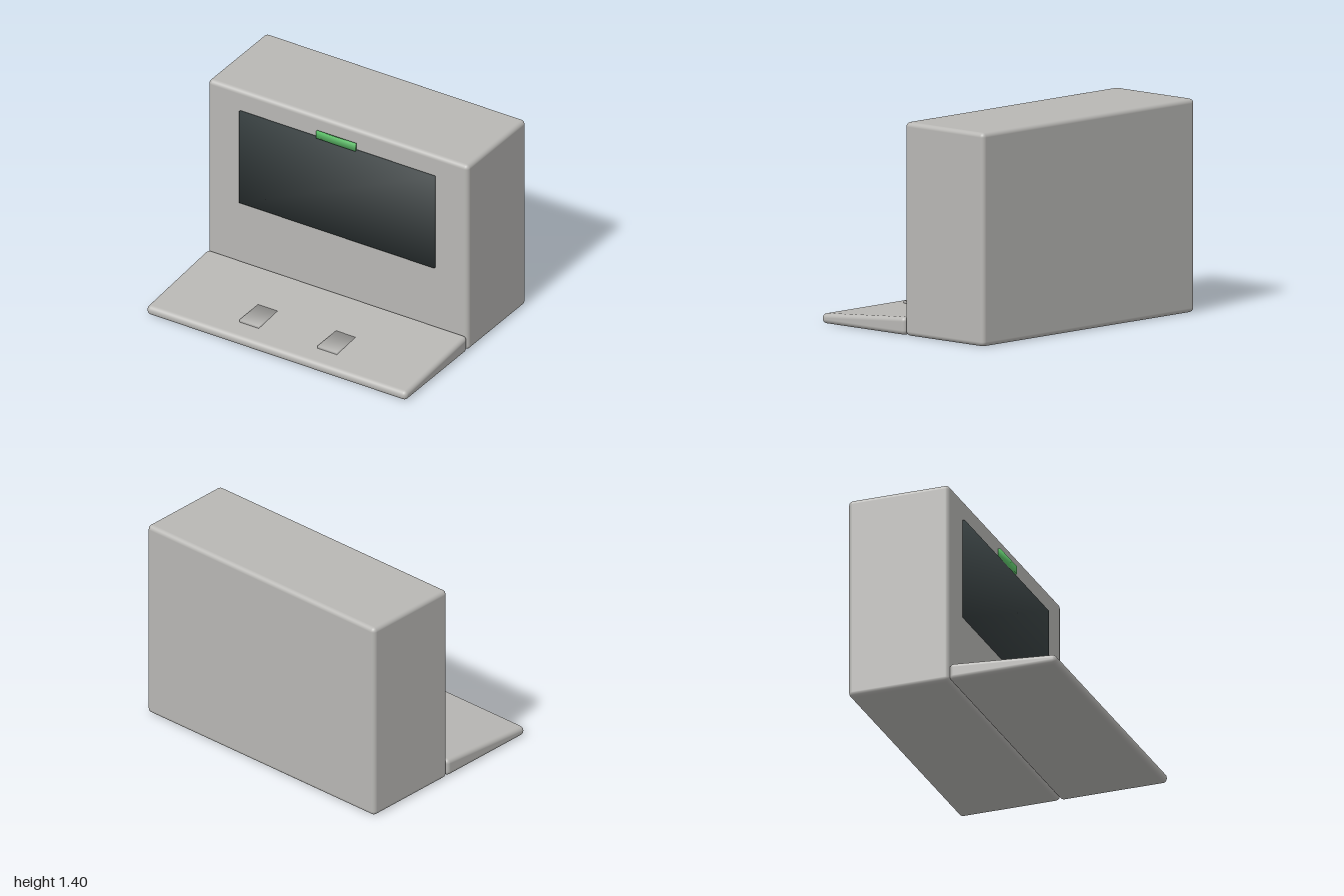
import * as THREE from 'three';
import { RoundedBoxGeometry } from 'three/addons/geometries/RoundedBoxGeometry.js';

const shellGrey = new THREE.MeshStandardMaterial({ name: 'shellGrey', color: 0xb8b7b4 });
const screenDark = new THREE.MeshStandardMaterial({ name: 'screenDark', color: 0x363e3f });
const lampGreen = new THREE.MeshStandardMaterial({ name: 'lampGreen', color: 0x5fc86c });

function addPart(group, name, geometry, material, x, y, z) {
  const mesh = new THREE.Mesh(geometry, material);
  mesh.name = name;
  mesh.position.set(x, y, z);
  group.add(mesh);
  return mesh;
}

// Box whose corner normals point outward, so its faces shade softly
function softBox(w, h, d) {
  const geometry = new THREE.BoxGeometry(w, h, d);
  const p = geometry.attributes.position;
  const n = new THREE.Vector3();
  for (let i = 0; i < p.count; i++) {
    n.set(Math.sign(p.getX(i)), Math.sign(p.getY(i)), Math.sign(p.getZ(i))).normalize();
    geometry.attributes.normal.setXYZ(i, n.x, n.y, n.z);
  }
  return geometry;
}

// Rounded slab whose top slopes down towards the front
function wedge(w, h, d, drop) {
  const geometry = new RoundedBoxGeometry(w, h, d, 4, 0.03);
  const p = geometry.attributes.position;
  const normals = geometry.attributes.normal;
  const n = new THREE.Vector3();
  for (let i = 0; i < p.count; i++) {
    if (p.getY(i) <= 0) continue;
    p.setY(i, p.getY(i) - drop * (p.getZ(i) / d + 0.5));
    n.fromBufferAttribute(normals, i);
    n.z += n.y * drop / d;
    n.normalize();
    normals.setXYZ(i, n.x, n.y, n.z);
  }
  return geometry;
}

export function createModel() {
  const group = new THREE.Group();
  group.name = 'displayTerminal';

  // Upright body and sloping tray in front of it
  addPart(group, 'cabinet', new RoundedBoxGeometry(2, 1.4, 0.7, 4, 0.03), shellGrey, 0, 0.7, -0.372);
  addPart(group, 'tray', wedge(2, 0.12, 0.744, 0.056), shellGrey, 0, 0.06, 0.35);

  // Screen and the small lamp above it
  addPart(group, 'screen', softBox(1.5, 0.695, 0.024), screenDark, 0, 0.9025, -0.02);
  addPart(group, 'lamp', softBox(0.3, 0.055, 0.014), lampGreen, 0, 1.2775, -0.003);

  // Level pads sunk into the tray
  for (const side of [1, -1]) {
    addPart(group, side > 0 ? 'leftPad' : 'rightPad', softBox(0.15, 0.03, 0.225), shellGrey,
      side * 0.3, 0.077, 0.4625);
  }
  return group;
}
